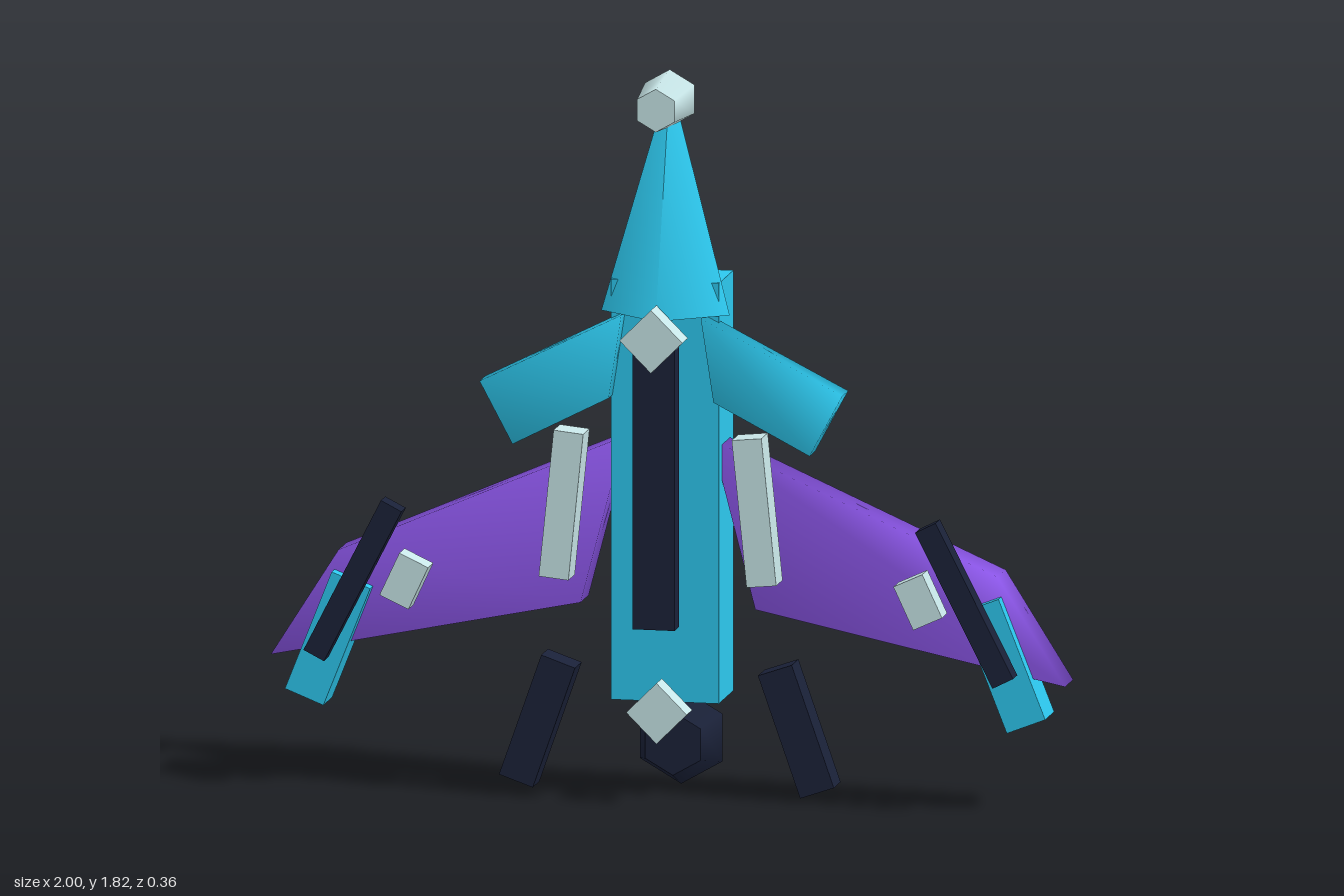
import * as THREE from 'three';
import { mergeVertices } from 'three/addons/utils/BufferGeometryUtils.js';

const paint = (color) => new THREE.MeshStandardMaterial({ color });

export function createModel() {
  const model = new THREE.Group();
  const cyan = paint(0x2dc8ee), purple = paint(0x8f58ee);
  const dark = paint(0x1a2138), pale = paint(0xc8e6e8);

  function add(name, geometry, material, x, y, z) {
    const mesh = new THREE.Mesh(geometry, material);
    mesh.name = name;
    mesh.position.set(x, y, z);
    model.add(mesh);
    return mesh;
  }

  // Box given by size and centre, tilted about z (degrees)
  function block(name, material, [w, h, d], [x, y, z], tilt = 0) {
    const mesh = add(name, new THREE.BoxGeometry(w, h, d), material, x, y, z);
    mesh.rotation.z = THREE.MathUtils.degToRad(tilt);
  }

  // Same box on both sides, leaning outwards at the bottom
  function blockPair(name, material, size, [x, y, z], tilt) {
    block(name + 'Left', material, size, [x, y, z], tilt);
    block(name + 'Right', material, size, [-x, y, z], -tilt);
  }

  // Flat plate with soft shared normals, on both sides
  function platePair(name, material, outline, zBack, depth) {
    for (const [side, s] of [['Left', 1], ['Right', -1]]) {
      const shape = new THREE.Shape(outline.map(([x, y]) => new THREE.Vector2(s * x, y)));
      let geometry = new THREE.ExtrudeGeometry(shape, { depth, bevelEnabled: false });
      geometry.deleteAttribute('normal');
      geometry.deleteAttribute('uv');
      geometry = mergeVertices(geometry);
      geometry.computeVertexNormals();
      add(name + side, geometry, material, 0, 0, zBack);
    }
  }

  // Six-sided tapered tube pointing along z
  function hexTube(name, material, rFront, rBack, length, y, z) {
    const geometry = new THREE.CylinderGeometry(rFront, rBack, length, 6);
    add(name, geometry.rotateX(Math.PI / 2), material, 0, y, z);
  }

  // Fuselage and five-sided nose
  block('fuselage', cyan, [0.272, 1.055, 0.172], [0, 0.773, -0.067]);
  add('noseCone', new THREE.ConeGeometry(0.17, 0.58, 5), cyan, 0, 1.51, -0.042);

  // Main wings and small front wings
  platePair('wing', purple, [[0.11, 0.9], [0.22, 0.478], [1, 0.316], [0.83, 0.585]], -0.114, 0.096);
  platePair('frontWing', cyan, [[0.1, 1.22], [0.132, 1.01], [0.374, 0.885], [0.457, 1.04]], -0.004, 0.068);

  // Nose barrel and rear nozzle
  hexTube('noseBarrel', pale, 0.054, 0.072, 0.165, 1.749, 0.043);
  hexTube('nozzle', dark, 0.08, 0.12, 0.1, 0.122, -0.125);

  // Spine strip with a diamond at each end
  block('spineStrip', dark, [0.106, 0.705, 0.055], [0, 0.803, 0.125]);
  block('upperDiamond', pale, [0.112, 0.112, 0.066], [0, 1.18, 0.151], 45);
  block('lowerDiamond', pale, [0.108, 0.108, 0.064], [0, 0.234, 0.086], 45);

  // Bars and pods along the sides
  blockPair('innerBar', pale, [0.075, 0.37, 0.076], [0.243, 0.745, 0.068], 5.8);
  blockPair('wingBlock', pale, [0.08, 0.118, 0.062], [0.647, 0.53, 0.036], 25);
  blockPair('wingBarrel', dark, [0.058, 0.43, 0.052], [0.77, 0.532, 0.071], 27);
  blockPair('wingPod', cyan, [0.104, 0.32, 0.106], [0.85, 0.368, -0.037], 21.6);
  blockPair('tailFin', dark, [0.09, 0.322, 0.08], [0.326, 0.179, -0.04], 19.3);

  return model;
}
